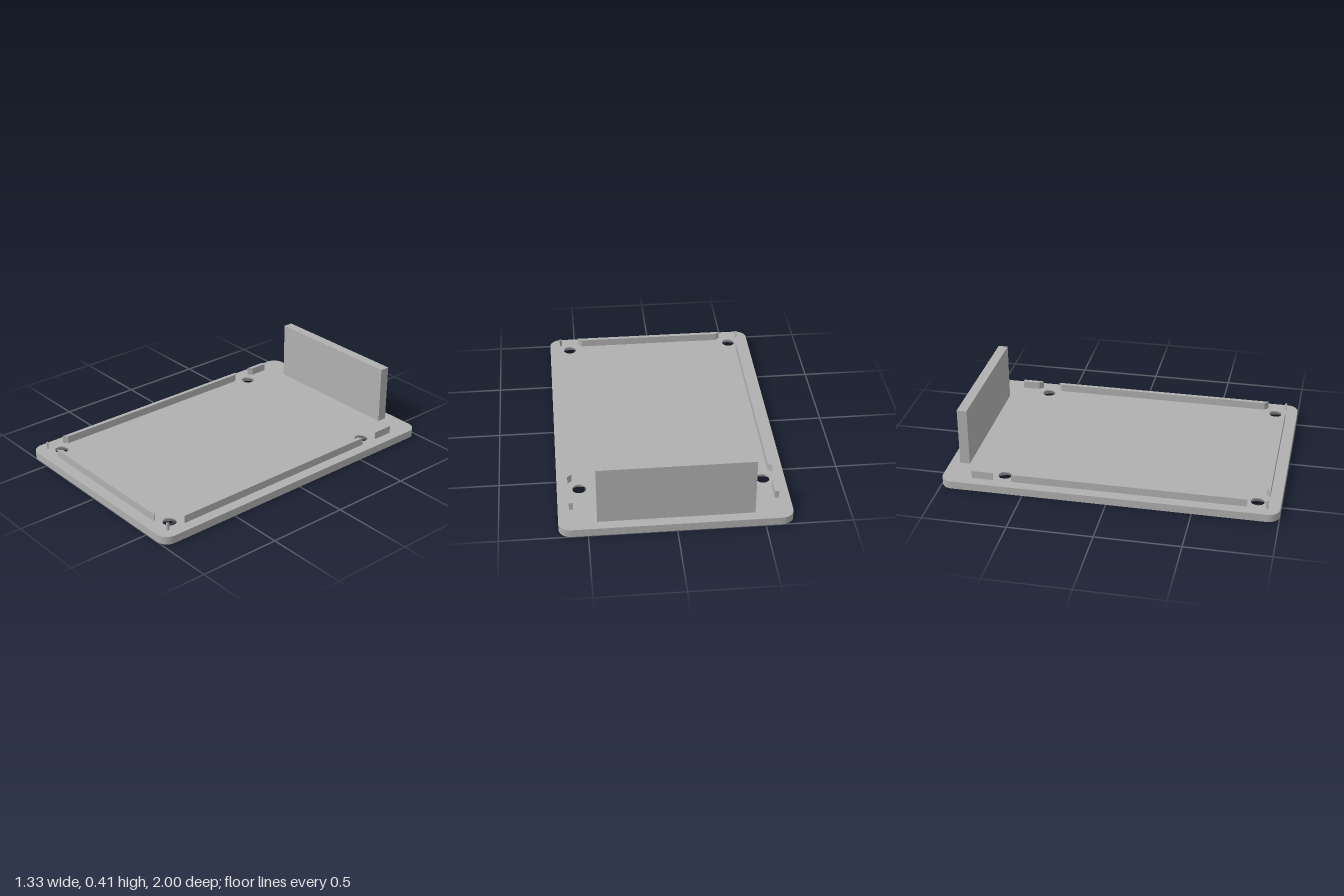
import * as THREE from 'three';
import { toCreasedNormals } from 'three/addons/utils/BufferGeometryUtils.js';

const W = 0.665, L = 1, T = 0.048, R = 0.07;   // plate half width, half length, thickness, corner
const RAIL_TOP = 0.095, RECESS = 0.015;
const HOLES = [[0.535, -0.635], [-0.535, -0.635], [0.535, 0.865], [-0.535, 0.865]];

// Plans are [x, z] points; shapes use y = -z and are then laid flat.
const toVectors = (plan) => plan.map(([x, z]) => new THREE.Vector2(x, -z));
const mirror = (plan) => plan.map(([x, z]) => [-x, z]);

function circlePlan([cx, cz], r, n = 40) {
  return Array.from({ length: n }, (_, i) => {
    const a = (i / n) * Math.PI * 2;
    return [cx + r * Math.cos(a), cz + r * Math.sin(a)];
  });
}

// Rounded rectangle, counterclockwise from above
function platePlan() {
  const plan = [], n = 10;
  [[1, -1], [-1, -1], [-1, 1], [1, 1]].forEach(([sx, sz], q) => {
    for (let i = 0; i <= n; i++) {
      const a = (q + i / n) * Math.PI / 2;
      plan.push([sx * (W - R) + R * Math.cos(a), sz * (L - R) - R * Math.sin(a)]);
    }
  });
  return plan;
}

// Flat horizontal face with openings
function flatFace(plan, holes, y, faceDown = false) {
  const shape = new THREE.Shape(toVectors(plan));
  shape.holes = holes.map((h) => new THREE.Path(toVectors(h)));
  const g = new THREE.ShapeGeometry(shape).rotateX(-Math.PI / 2).translate(0, y, 0);
  if (faceDown) {
    g.index.array.reverse();
    g.computeVertexNormals();
  }
  return g;
}

// Vertical wall along a closed plan
function wallStrip(plan, y0, y1) {
  const pos = [];
  plan.forEach(([ax, az], i) => {
    const [bx, bz] = plan[(i + 1) % plan.length];
    pos.push(ax, y0, az, bx, y0, bz, bx, y1, bz, ax, y0, az, bx, y1, bz, ax, y1, az);
  });
  const g = new THREE.BufferGeometry();
  g.setAttribute('position', new THREE.Float32BufferAttribute(pos, 3));
  return toCreasedNormals(g, 0.6);
}

// Solid rising from the plate
function riser(plan, top) {
  return new THREE.ExtrudeGeometry(new THREE.Shape(toVectors(plan)), { depth: top - T, bevelEnabled: false })
    .rotateX(-Math.PI / 2).translate(0, T, 0);
}

export function createModel() {
  const model = new THREE.Group();
  model.name = 'coverPlate';
  const grey = new THREE.MeshStandardMaterial({ color: 0xb0b0b0 });
  grey.name = 'grey plastic';
  const add = (name, geometry, parent = model) => {
    const mesh = new THREE.Mesh(geometry, grey);
    mesh.name = name;
    parent.add(mesh);
    return mesh;
  };

  // Base plate with countersunk holes and an arrow recessed in the underside
  const plate = new THREE.Group();
  plate.name = 'basePlate';
  model.add(plate);
  const outline = platePlan();
  const arrow = [[0, -0.9], [0.15, -0.68], [0.048, -0.68], [0.048, -0.31],
    [-0.048, -0.31], [-0.048, -0.68], [-0.15, -0.68]];
  add('plateTop', flatFace(outline, HOLES.map((h) => circlePlan(h, 0.04)), T), plate);
  add('plateUnderside', flatFace(outline, [...HOLES.map((h) => circlePlan(h, 0.08)), arrow], 0, true), plate);
  add('plateEdge', wallStrip(outline, 0, T), plate);
  add('arrowRecessWall', wallStrip(arrow, 0, RECESS), plate);
  add('arrowRecessFloor', flatFace(arrow, [], RECESS, true), plate);

  // Screw holes: short bore above a conical countersink
  const bore = [[0.04, T], [0.04, 0.04], [0.08, 0]].map(([r, y]) => new THREE.Vector2(r, y));
  const boreGeometry = toCreasedNormals(new THREE.LatheGeometry(bore, 40), 0.5);
  for (const [x, z] of HOLES) add('screwHole', boreGeometry, plate).position.set(x, 0, z);

  // Locating rails, cut back around the screw holes
  const sideParts = {
    longRail: [[0.601, -0.58], [0.601, 0.811], [0.576, 0.788], [0.576, -0.557]],
    shortRail: [[0.601, -0.82], [0.601, -0.689], [0.576, -0.713], [0.576, -0.82]],
    cornerPost: [[0.601, 0.917], [0.601, 0.931], [0.587, 0.931]],
  };
  for (const [name, plan] of Object.entries(sideParts)) {
    add(name + 'Left', riser(plan, RAIL_TOP));
    add(name + 'Right', riser(mirror(plan), RAIL_TOP));
  }
  add('frontRail', riser([[-0.479, 0.931], [0.479, 0.931], [0.453, 0.906], [-0.453, 0.906]], RAIL_TOP));

  // Tall upright panel near the back
  add('uprightPanel', riser([[-0.447, -0.94], [0.447, -0.94], [0.447, -0.88], [-0.447, -0.88]], 0.406));

  return model;
}
